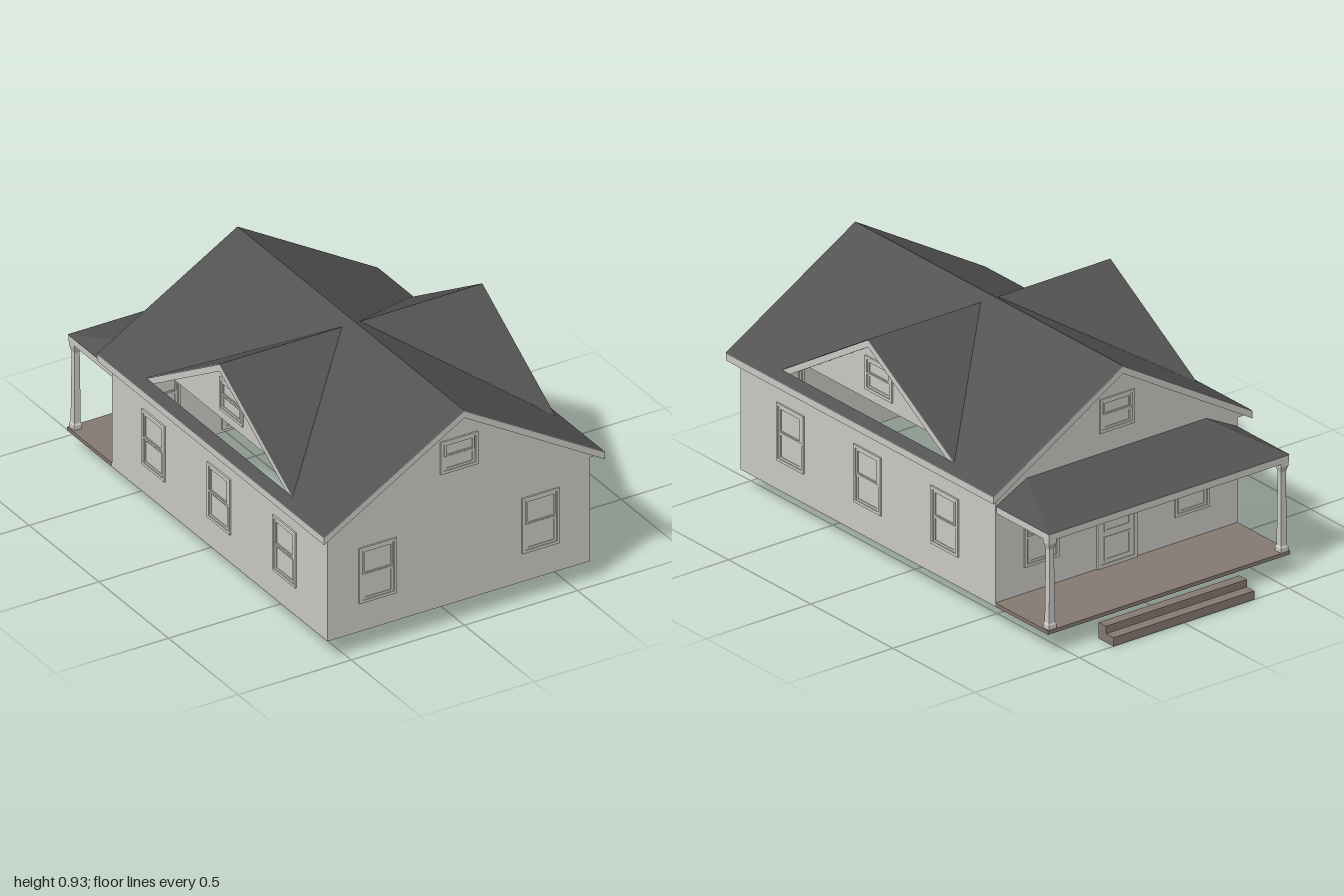
import * as THREE from 'three';

const siding = new THREE.MeshStandardMaterial({ color: 0xcdcbc6, side: THREE.DoubleSide });
siding.name = 'pale siding';
const shingle = new THREE.MeshStandardMaterial({ color: 0x535353, side: THREE.DoubleSide });
shingle.name = 'dark shingle';
const timber = new THREE.MeshStandardMaterial({ color: 0x857a71 });
timber.name = 'brown timber';

// Main dimensions
const W = 0.58, FRONT = 0.96, BACK = -0.59, BASE = 0.085;
const RX = 0.62, EAVE = 0.565, RIDGE = 0.93, PITCH = (RIDGE - EAVE) / RX;
const DZ = 0.185, DHALF = 0.525, DTOP = 0.908, DBASE = 0.59, DWALL = 0.525;
const roofY = (x) => RIDGE - PITCH * Math.abs(x);

function add(parent, name, geo, mat, x = 0, y = 0, z = 0) {
  const mesh = new THREE.Mesh(geo, mat);
  mesh.name = name;
  mesh.position.set(x, y, z);
  parent.add(mesh);
  return mesh;
}

// Box given by its minimum and maximum corners
function box(parent, name, mat, [x0, y0, z0], [x1, y1, z1]) {
  return add(parent, name, new THREE.BoxGeometry(x1 - x0, y1 - y0, z1 - z0), mat,
    (x0 + x1) / 2, (y0 + y1) / 2, (z0 + z1) / 2);
}

const shapeOf = (pts) => new THREE.Shape(pts.map(([x, y]) => new THREE.Vector2(x, y)));
const extrude = (shape, depth) => new THREE.ExtrudeGeometry(shape, { depth, bevelEnabled: false });

// Flat-shaded sheet from triangles and quads
function sheet(...faces) {
  const pos = [];
  for (const f of faces) {
    for (let i = 1; i < f.length - 1; i++) pos.push(...f[0], ...f[i], ...f[i + 1]);
  }
  const geo = new THREE.BufferGeometry();
  geo.setAttribute('position', new THREE.Float32BufferAttribute(pos, 3));
  geo.computeVertexNormals();
  return geo;
}

// Rake board under a gable roof, cut level at its feet
function rake(half, foot, eave, apex, thick) {
  const inner = half * (apex - thick - foot) / (apex - eave);
  return shapeOf([[-half, foot], [-half, eave], [0, apex], [half, eave],
    [half, foot], [Math.min(inner, half - 0.001), foot], [0, apex - thick],
    [-Math.min(inner, half - 0.001), foot]]);
}

// Rectangular ring, centred
function ring(w, h, border, depth) {
  const s = shapeOf([[-w / 2, -h / 2], [w / 2, -h / 2], [w / 2, h / 2], [-w / 2, h / 2]]);
  const a = w / 2 - border, b = h / 2 - border;
  s.holes.push(new THREE.Path([[-a, -b], [-a, b], [a, b], [a, -b]]
    .map(([x, y]) => new THREE.Vector2(x, y))));
  return extrude(s, depth).translate(0, 0, -depth / 2);
}

// Sash window, showing on both faces of its wall
function sashWindow(parent, x, y, z, turn, h = 0.24) {
  const g = new THREE.Group();
  g.name = 'window';
  add(g, 'windowFrame', ring(0.165, h, 0.012, 0.014), siding);
  add(g, 'upperSash', ring(0.133, h / 2 - 0.012, 0.009, 0.009), siding, 0, h / 4 - 0.006, 0);
  add(g, 'lowerSash', ring(0.133, h / 2 - 0.012, 0.009, 0.006), siding, 0, -h / 4 + 0.006, 0);
  box(g, 'meetingRail', siding, [-0.07, -0.004, -0.006], [0.07, 0.004, 0.006]);
  g.position.set(x, y, z);
  g.rotation.y = turn;
  parent.add(g);
}

export function createModel() {
  const house = new THREE.Group();
  house.name = 'house';

  // Gable walls, rakes and their windows
  const gable = shapeOf([[-W, BASE], [W, BASE], [W, roofY(W) - 0.01], [0, RIDGE - 0.01], [-W, roofY(W) - 0.01]]);
  for (const [label, z, rakeZ, turn] of [['front', FRONT, FRONT, 0], ['back', BACK, BACK - 0.04, Math.PI]]) {
    add(house, label + 'Wall', new THREE.ShapeGeometry(gable), siding, 0, 0, z);
    add(house, label + 'Rake', extrude(rake(RX, 0.535, EAVE, RIDGE, 0.03), 0.04), siding, 0, 0, rakeZ);
    for (const x of [-0.36, 0.36]) sashWindow(house, x, 0.328, z, turn);
    sashWindow(house, 0, 0.73, z, turn, 0.14);
  }

  for (const s of [1, -1]) {
    const side = s > 0 ? 'left' : 'right';

    // Side wall, eave and windows
    add(house, side + 'Wall', sheet([[s * W, BASE, BACK], [s * W, BASE, FRONT],
      [s * W, 0.57, FRONT], [s * W, 0.57, BACK]]), siding);
    const eave = shapeOf([[s * W, 0.535], [s * RX, 0.535], [s * RX, EAVE], [s * W, roofY(W) - 0.002]]);
    add(house, side + 'Eave', extrude(eave, FRONT - BACK), siding, 0, 0, BACK);
    for (const z of [0.655, DZ, -0.285]) sashWindow(house, s * W, 0.328, z, s * Math.PI / 2);

    // Roof slope, opened below the dormer
    const slope = shapeOf([[0, -0.63], [RX, -0.63], [RX, 1], [0, 1]]);
    slope.holes.push(new THREE.Path([[0.04, DZ], [W, DZ - DHALF], [W, DZ + DHALF]]
      .map(([x, y]) => new THREE.Vector2(x, y))));
    const geo = new THREE.ShapeGeometry(slope).toNonIndexed();
    const p = geo.attributes.position;
    for (let i = 0; i < p.count; i++) {
      const x = p.getX(i), z = p.getY(i);
      p.setXYZ(i, s * x, roofY(x) + 0.002, z);
    }
    geo.computeVertexNormals();
    add(house, side + 'RoofSlope', geo, shingle);

    // Dormer: two roof triangles, inset wall, rake and window
    const dormer = new THREE.Group();
    dormer.name = side + 'Dormer';
    house.add(dormer);
    const out = [s * W, DTOP + 0.002, DZ], inn = [s * 0.04, DTOP, DZ];
    add(dormer, 'dormerRoof', sheet(
      [out, inn, [s * W, DBASE + 0.002, DZ + DHALF]],
      [inn, out, [s * W, DBASE + 0.002, DZ - DHALF]]), shingle);
    const half = DHALF * (DTOP - 0.62) / (DTOP - DBASE);
    add(dormer, 'dormerWall', sheet([[s * DWALL, 0.62, DZ + half], [s * DWALL, 0.62, DZ - half],
      [s * DWALL, DTOP - 0.003, DZ]]), siding);
    const trim = add(dormer, 'dormerRake',
      extrude(rake(DHALF, DBASE - 0.001, DBASE, DTOP, 0.03), W - DWALL), siding, s * DWALL, 0, DZ);
    trim.rotation.y = s * Math.PI / 2;
    sashWindow(dormer, s * DWALL, 0.73, DZ, s * Math.PI / 2, 0.14);

    // Porch post: square, tapered, flared at head and foot
    const post = new THREE.LatheGeometry([[0.018, 0.095], [0.018, 0.118], [0.014, 0.125], [0.011, 0.43],
      [0.013, 0.437], [0.018, 0.455], [0.018, 0.475]]
      .map(([r, y]) => new THREE.Vector2(r * Math.SQRT2, y)), 4).rotateY(Math.PI / 4).toNonIndexed();
    post.computeVertexNormals();
    add(house, side + 'PorchPost', post, siding, s * 0.555, 0, -0.89);
    const a = s * 0.55, b = s * 0.575;
    box(house, side + 'PorchBeam', siding, [Math.min(a, b), 0.47, -0.91], [Math.max(a, b), 0.499, BACK]);
  }

  // Porch: floor, front beam, hipped roof
  box(house, 'porchFloor', timber, [-W, BASE, -0.91], [W, 0.1, BACK]);
  box(house, 'porchFrontBeam', siding, [-0.55, 0.47, -0.91], [0.55, 0.499, -0.885]);
  const L = [0.577, 0.5, -0.912], R = [-0.577, 0.5, -0.912];
  const LT = [0.43, 0.575, BACK], RT = [-0.43, 0.575, BACK];
  add(house, 'porchRoof', sheet([L, R, RT, LT], [L, LT, [0.577, 0.5, BACK]],
    [R, [-0.577, 0.5, BACK], RT]), shingle);

  // Steps
  box(house, 'lowerStep', timber, [-0.337, 0, -1], [0.337, 0.036, -0.91]);
  box(house, 'upperStep', timber, [-0.337, 0.036, -0.955], [0.337, 0.067, -0.91]);

  // Back door with a frame, panels and a row of top lights
  const door = new THREE.Group();
  door.name = 'door';
  door.position.set(0, 0.28, BACK);
  house.add(door);
  add(door, 'doorFrame', ring(0.19, 0.36, 0.014, 0.016), siding);
  box(door, 'doorLeaf', siding, [-0.081, -0.17, -0.004], [0.081, 0.166, 0.004]);
  for (const x of [-0.045, -0.015, 0.015, 0.045]) {
    add(door, 'doorLight', ring(0.026, 0.055, 0.004, 0.014), siding, x, 0.115, 0);
  }
  add(door, 'doorPanel', ring(0.125, 0.1, 0.008, 0.014), siding, 0, 0.015, 0);
  add(door, 'doorPanel', ring(0.125, 0.1, 0.008, 0.014), siding, 0, -0.105, 0);

  return house;
}
